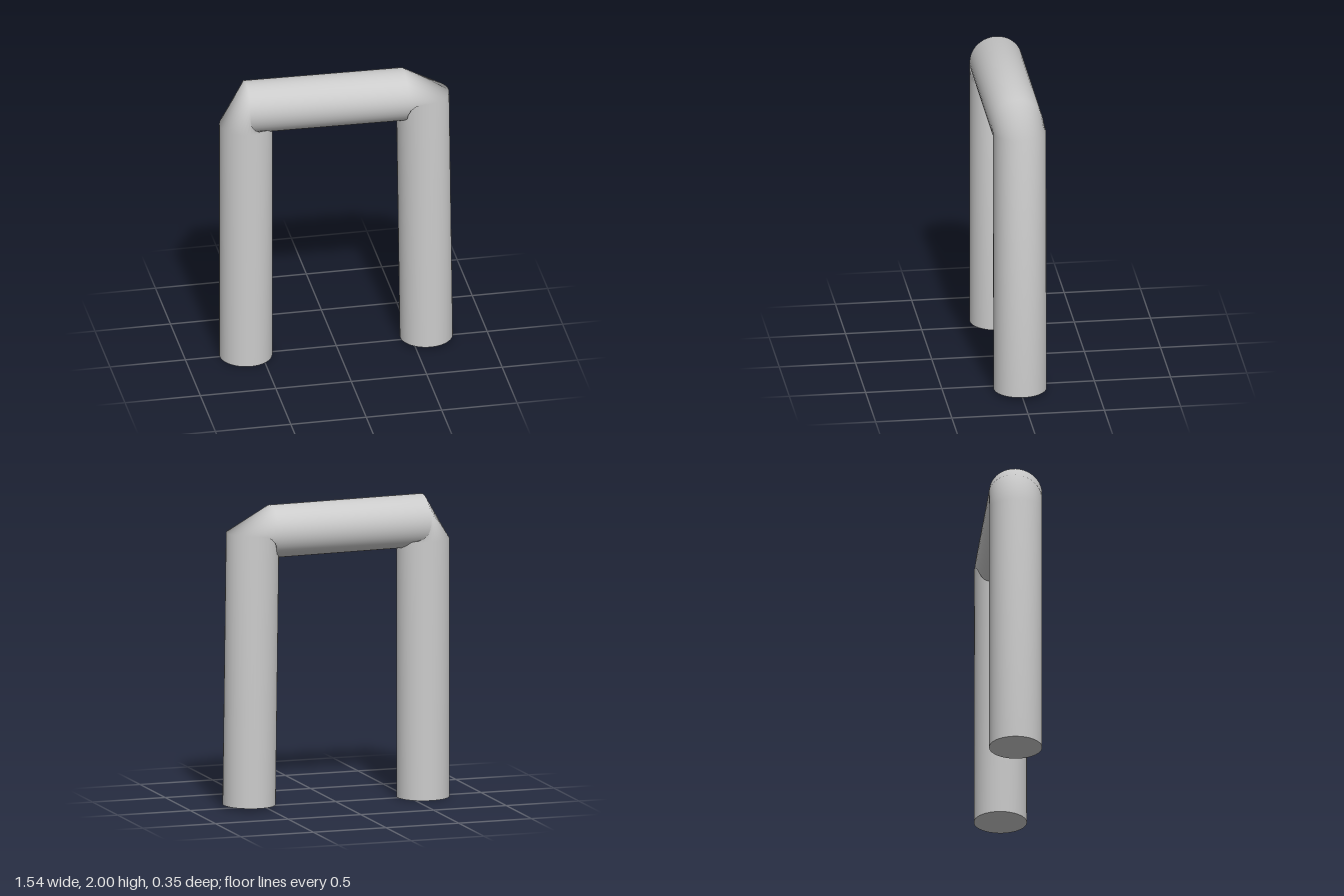
import * as THREE from 'three';

const SIDES = 40;
const RADIUS = 0.173;

// Ring centres [x, y] and the direction of travel; each corner is one bevelled step
const rings = [
  { c: [-0.6, 0], t: [0, 1] },
  { c: [-0.6, 1.705], t: [0, 1] },
  { c: [-0.6, 1.827], t: [1, -0.013] },
  { c: [0.447, 1.813], t: [1, -0.013] },
  { c: [0.572, 1.813], t: [0.013, -1] },
  { c: [0.596, 0.018], t: [0.013, -1] },
];

// Points of a circle square to its direction of travel
function ringPoints({ c, t }) {
  const len = Math.hypot(t[0], t[1]);
  const nx = -t[1] / len, ny = t[0] / len;
  const pts = [];
  for (let j = 0; j < SIDES; j++) {
    const a = (j / SIDES) * Math.PI * 2;
    const u = Math.cos(a) * RADIUS;
    pts.push(c[0] + nx * u, c[1] + ny * u, Math.sin(a) * RADIUS);
  }
  return pts;
}

function makeGeometry(positions, index) {
  const geo = new THREE.BufferGeometry();
  geo.setAttribute('position', new THREE.Float32BufferAttribute(positions, 3));
  geo.setIndex(index);
  geo.computeVertexNormals();
  return geo;
}

// Smooth skin over all the rings
function tubeGeometry() {
  const index = [];
  for (let i = 0; i < rings.length - 1; i++) {
    for (let j = 0; j < SIDES; j++) {
      const k = (j + 1) % SIDES;
      const a = i * SIDES + j, b = i * SIDES + k;
      index.push(a, b, b + SIDES, a, b + SIDES, a + SIDES);
    }
  }
  return makeGeometry(rings.flatMap(ringPoints), index);
}

// Flat disc closing one foot
function capGeometry(ring, atStart) {
  const index = [];
  for (let j = 0; j < SIDES; j++) {
    const k = (j + 1) % SIDES;
    index.push(SIDES, atStart ? k : j, atStart ? j : k);
  }
  return makeGeometry([...ringPoints(ring), ring.c[0], ring.c[1], 0], index);
}

export function createModel() {
  const group = new THREE.Group();
  group.name = 'bentPipeArch';
  const material = new THREE.MeshStandardMaterial({ color: 0xcccccc });
  const add = (name, geometry) => {
    const mesh = new THREE.Mesh(geometry, material);
    mesh.name = name;
    group.add(mesh);
  };

  add('pipe', tubeGeometry());
  add('rightFootCap', capGeometry(rings[0], true));
  add('leftFootCap', capGeometry(rings[rings.length - 1], false));
  return group;
}
